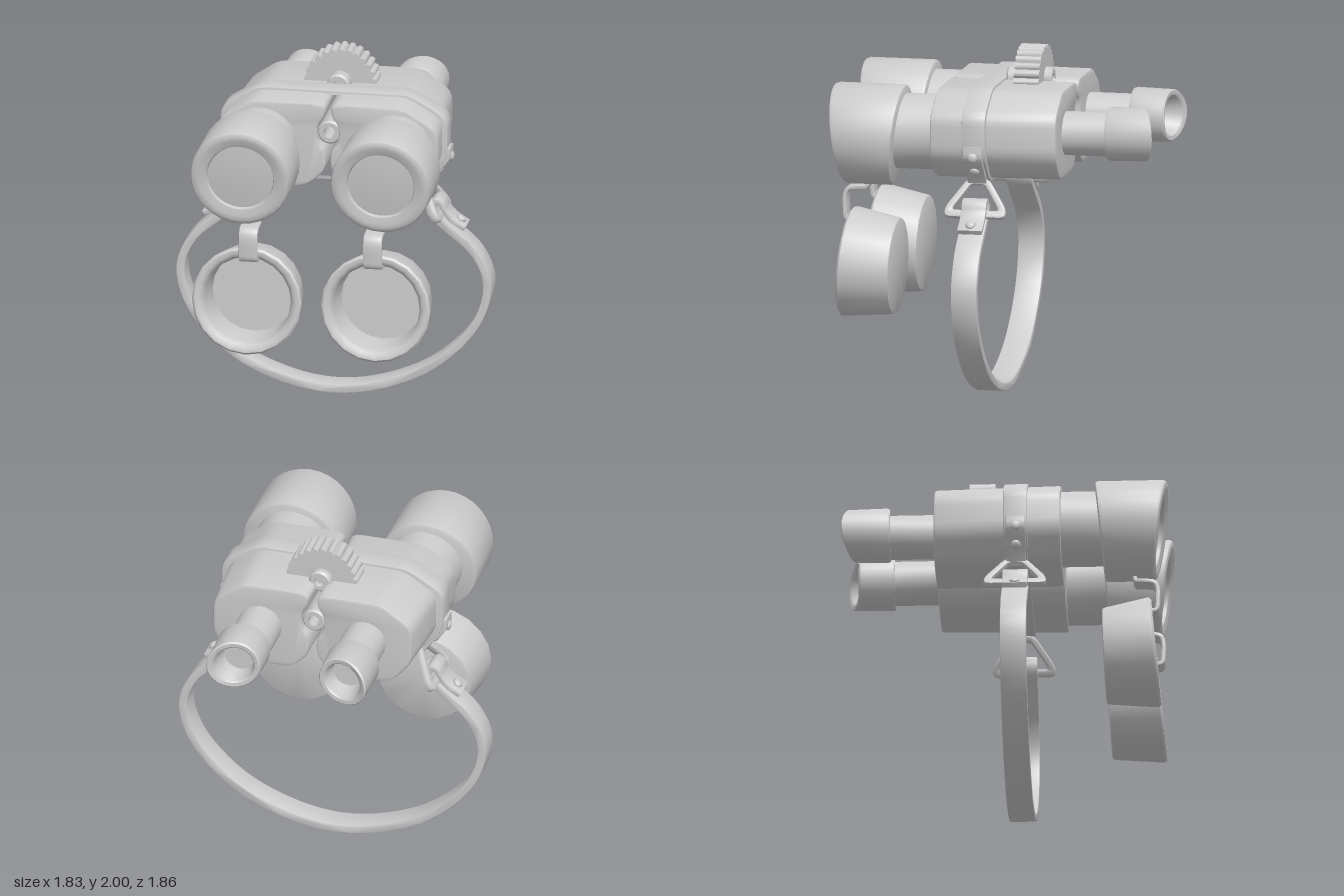
import * as THREE from 'three';
import { toCreasedNormals } from 'three/addons/utils/BufferGeometryUtils.js';

const grey = new THREE.MeshStandardMaterial({ color: 0xcccccc });

function add(parent, name, geo, crease = 0.6) {
  const mesh = new THREE.Mesh(toCreasedNormals(geo, crease), grey);
  mesh.name = name;
  parent.add(mesh);
  return mesh;
}

// Polygon with rounded corners
function rounded(points, r, Type = THREE.Shape) {
  const s = new Type();
  const v = points.map((p) => new THREE.Vector2(...p));
  v.forEach((p, i) => {
    const prev = v[(i + v.length - 1) % v.length], next = v[(i + 1) % v.length];
    const a = p.clone().add(prev.clone().sub(p).setLength(Math.min(r, p.distanceTo(prev) * 0.45)));
    const b = p.clone().add(next.clone().sub(p).setLength(Math.min(r, p.distanceTo(next) * 0.45)));
    if (i === 0) s.moveTo(a.x, a.y); else s.lineTo(a.x, a.y);
    s.quadraticCurveTo(p.x, p.y, b.x, b.y);
  });
  s.closePath();
  return s;
}

// Extrusion between z0 and z1 with bevelled ends that stay inside the outline
function slab(shape, z0, z1, bevel, curveSegments = 4) {
  const geo = new THREE.ExtrudeGeometry(shape, {
    depth: z1 - z0 - 2 * bevel, bevelEnabled: bevel > 0, bevelSize: bevel, bevelOffset: -bevel,
    bevelThickness: bevel, bevelSegments: 2, curveSegments,
  });
  return geo.translate(0, 0, z0 + bevel);
}

// Flat strip following a path in the xy plane, its width centred on z = 0
function ribbon(points, thickness, width, divisions = 40) {
  const curve = new THREE.CatmullRomCurve3(points.map(([x, y]) => new THREE.Vector3(x, y, 0)));
  const one = [], two = [];
  for (let i = 0; i <= divisions; i++) {
    const p = curve.getPoint(i / divisions), t = curve.getTangent(i / divisions);
    const nx = -t.y * thickness / 2, ny = t.x * thickness / 2;
    one.push(new THREE.Vector2(p.x + nx, p.y + ny));
    two.unshift(new THREE.Vector2(p.x - nx, p.y - ny));
  }
  return slab(new THREE.Shape([...one, ...two]), -width / 2, width / 2, 0.006);
}

// Turned part around the z axis; profile holds [radius, z]
function turned(profile, sides, x, y) {
  const geo = new THREE.LatheGeometry(profile.map((p) => new THREE.Vector2(...p)), sides);
  return geo.rotateX(Math.PI / 2).translate(x, y, 0);
}

// Move vertices by a rule
function bend(geo, rule) {
  const pos = geo.attributes.position, v = new THREE.Vector3();
  for (let i = 0; i < pos.count; i++) {
    rule(v.fromBufferAttribute(pos, i));
    pos.setXYZ(i, v.x, v.y, v.z);
  }
  return geo;
}

const lerp = THREE.MathUtils.lerp;

function rivet(parent, x, y, z, angle) {
  const geo = new THREE.SphereGeometry(0.03, 12, 8).scale(0.6, 1, 1).rotateZ(angle).translate(x, y, z);
  add(parent, 'rivet', geo, 1.2);
}

function createHalf(name) {
  const half = new THREE.Group();
  half.name = name;

  // Prism housing, narrower toward the eyepiece
  const section = rounded([[0.05, 1.805], [0.44, 1.805], [0.642, 1.68], [0.642, 1.45], [0.5, 1.3], [0.13, 1.3],
    [0.015, 1.4], [0.015, 1.52], [0.065, 1.57], [0.065, 1.67], [0.025, 1.72], [0.015, 1.78]].reverse(), 0.06);
  add(half, 'housing', bend(slab(section, -0.4, 0.325, 0.015), (v) => {
    const t = (v.z + 0.4) / 0.725;
    v.x = lerp(0.022, 0.012, t) + (v.x - 0.015) * lerp(0.905, 1, t);
  }));

  // Objective barrel and slanted hood with a recessed lens
  add(half, 'objectiveBarrel', turned([[0, 0.3], [0.215, 0.3], [0.215, 0.6], [0, 0.6]], 32, 0.394, 1.545));
  const hood = turned([[0, 0], [0.27, 0], [0.284, 0.02], [0.288, 0.06], [0.288, 0.94], [0.28, 0.98], [0.262, 1],
    [0.24, 0.998], [0.197, 0.96], [0.19, 0.9], [0.1, 0.92], [0, 0.925]], 32, 0.406, 1.522);
  add(half, 'objectiveHood', bend(hood, (v) => {
    const d = (v.y - 1.522) / 0.288;
    v.z = lerp(0.54 - 0.03 * d, 0.895 + 0.04 * d, v.z);
  }));

  // Eyepiece tube and eyecup with a swept-back rim
  add(half, 'eyepieceTube', turned([[0, -0.7], [0.126, -0.7], [0.126, -0.38], [0, -0.38]], 28, 0.31, 1.552));
  const cup = turned([[0, -0.76], [0.09, -0.76], [0.112, -0.85], [0.12, -0.858], [0.142, -0.86], [0.15, -0.85],
    [0.155, -0.67], [0.148, -0.655], [0, -0.655]], 28, 0.324, 1.56);
  add(half, 'eyecup', bend(cup, (v) => {
    if (v.z < -0.8) v.z -= 0.078 * (((v.x - 0.324) / 0.152 + 1) / 2) ** 2;
  }));

  // Hanging lens cap, open to the front, and its hinge strap
  const cap = turned([[0, 0], [0.265, 0], [0.275, 0.015], [0.279, 0.05], [0.317, 0.92], [0.317, 0.96], [0.305, 1],
    [0.285, 1], [0.266, 0.96], [0.25, 0.85], [0.24, 0.16], [0, 0.16]], 20, 0, 0);
  add(half, 'lensCap', bend(cap, (v) => {
    const d = v.y / 0.3;
    v.z = lerp(0.565 - 0.011 * d, 0.861 - 0.026 * d, v.z);
    v.x += 0.373;
    v.y += lerp(0.754, 0.775, (v.z - 0.565) / 0.3);
  }));
  const tab = ribbon([[0.74, 1.26], [0.745, 1.215], [0.79, 1.21], [0.85, 1.2], [0.868, 1.17], [0.87, 1.08],
    [0.862, 1.03], [0.82, 1.02]], 0.024, 0.108);
  add(half, 'capStrap', tab.rotateY(-Math.PI / 2).translate(0.36, 0, 0));

  // Strap lug wrapped down the lower flank of the band
  add(half, 'strapLug', ribbon([[0.657, 1.51], [0.657, 1.455], [0.635, 1.42], [0.57, 1.345], [0.535, 1.3],
    [0.515, 1.27]], 0.028, 0.11).translate(0, 0, 0.07));
  rivet(half, 0.668, 1.45, 0.07, 0);
  rivet(half, 0.6, 1.36, 0.07, -0.7);

  // Trapezoid carrying ring
  const ring = rounded([[-0.06, 0.02], [0.06, 0.02], [0.178, -0.16], [0.178, -0.22], [-0.178, -0.22],
    [-0.178, -0.16]].reverse(), 0.04);
  ring.holes.push(rounded([[-0.04, -0.02], [0.04, -0.02], [0.13, -0.16], [0.13, -0.175], [-0.13, -0.175],
    [-0.13, -0.16]], 0.02, THREE.Path));
  const ringMesh = add(half, 'carryRing', slab(ring, -0.021, 0.021, 0.01).rotateY(-Math.PI / 2));
  ringMesh.position.set(0.515, 1.285, 0.065);
  ringMesh.rotation.z = 0.52;

  // Strap end folded over the ring and riveted
  add(half, 'strapFold', ribbon([[0.56, 1.11], [0.565, 1.165], [0.59, 1.19], [0.62, 1.175], [0.64, 1.13],
    [0.68, 1.085], [0.755, 1.035]], 0.03, 0.145).translate(0, 0, 0.067));
  rivet(half, 0.727, 1.075, 0.067, 0.95);
  return half;
}

export function createModel() {
  const model = new THREE.Group();
  model.name = 'binoculars';

  const left = createHalf('leftHalf');
  const right = createHalf('rightHalf');
  right.scale.x = -1;
  model.add(left, right);

  // Band around both housings
  const mirror = (pts) => [...pts, ...pts.map(([x, y]) => [-x, y]).reverse()];
  const band = rounded(mirror([[0.44, 1.82], [0.655, 1.69], [0.655, 1.445], [0.505, 1.285]]), 0.06);
  band.holes.push(rounded(mirror([[0.43, 1.798], [0.62, 1.68], [0.62, 1.455], [0.49, 1.303]]), 0.06, THREE.Path));
  add(model, 'band', slab(band, 0, 0.135, 0.004));

  // Hollow hinge tube between the halves
  add(model, 'hinge', turned([[0.034, -0.37], [0.06, -0.37], [0.07, -0.36], [0.07, 0.265], [0.06, 0.275],
    [0.034, 0.275], [0.034, -0.37]], 12, 0, 1.615));

  // Focus axle with a small bore at each end
  add(model, 'focusAxle', turned([[0, -0.23], [0.025, -0.23], [0.03, -0.258], [0.055, -0.258], [0.067, -0.245],
    [0.067, -0.005], [0.055, 0.008], [0.03, 0.008], [0.025, -0.02], [0, -0.02]], 16, 0, 1.807));

  // Ridged focus wheel, cut off inside the housings
  const rim = [];
  for (let i = 0; i <= 112; i++) {
    const a = lerp(-0.2, Math.PI + 0.2, i / 112);
    const r = 0.184 + 0.027 * Math.sqrt(Math.abs(Math.sin(a * 13)));
    rim.push(new THREE.Vector2(Math.cos(a) * r, 1.79 + Math.sin(a) * r));
  }
  add(model, 'focusWheel', slab(new THREE.Shape(rim), -0.215, -0.067, 0));

  // Neck strap hanging below
  const side = [[0.56, 1.17], [0.565, 1.12], [0.66, 1.03], [0.815, 0.89], [0.888, 0.71], [0.825, 0.47],
    [0.58, 0.21], [0.28, 0.07]];
  add(model, 'neckStrap', ribbon([...side, [0, 0.026], ...side.map(([x, y]) => [-x, y]).reverse()],
    0.048, 0.15, 90).translate(0, 0, 0.067));

  return model;
}
